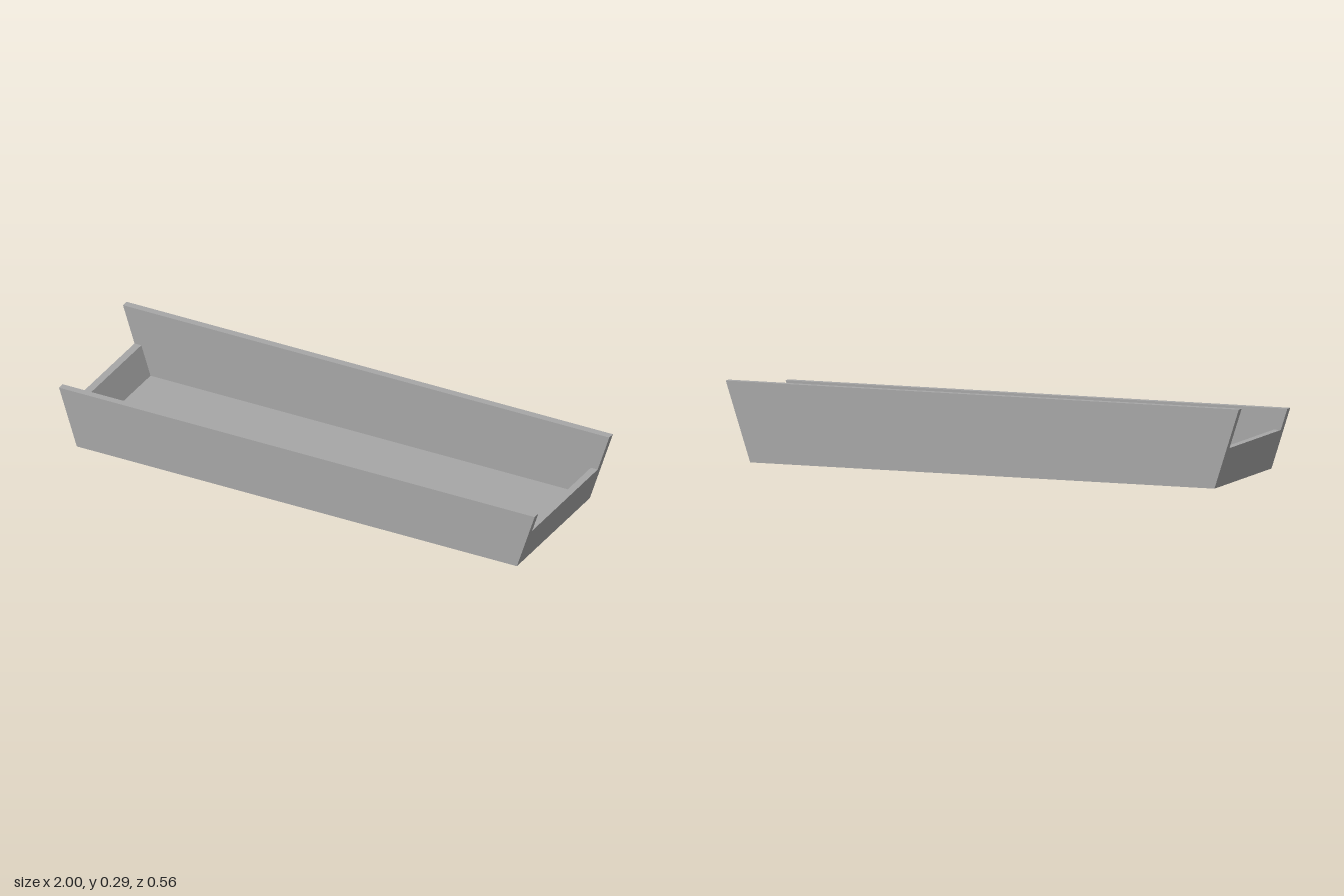
import * as THREE from 'three';
import { toCreasedNormals } from 'three/addons/utils/BufferGeometryUtils.js';

const BASE = 0.905;              // half width at the bottom
const SLOPE = 0.095 / 0.294;     // outward lean of the ends
const WALL = 0.028;
const DEPTH = 0.278;             // half depth
const halfWidth = (y) => BASE + SLOPE * y;

export function createModel() {
  const group = new THREE.Group();
  const grey = new THREE.MeshStandardMaterial({ color: 0xa6a6a6 });
  grey.name = 'plain grey';

  const add = (name, geometry, z, x = 0, y = 0) => {
    const mesh = new THREE.Mesh(toCreasedNormals(geometry, 0.5), grey);
    mesh.name = name;
    mesh.position.set(x, y, z);
    group.add(mesh);
  };
  const extrude = (shape, depth) =>
    new THREE.ExtrudeGeometry(shape, { depth, bevelEnabled: false, curveSegments: 16 });

  // Trapezoid panel outline
  const panel = (height) => new THREE.Shape([
    new THREE.Vector2(-BASE, 0), new THREE.Vector2(BASE, 0),
    new THREE.Vector2(halfWidth(height), height), new THREE.Vector2(-halfWidth(height), height),
  ]);
  const roundHole = (shape, x, y, r) =>
    shape.holes.push(new THREE.Path().absarc(x, y, r, 0, Math.PI * 2, true));

  // Front panel with a centre slot and two round holes
  const front = panel(0.226);
  const slot = new THREE.Path();
  slot.absarc(0.098, 0.122, 0.042, Math.PI / 2, -Math.PI / 2, true);
  slot.absarc(-0.098, 0.122, 0.042, -Math.PI / 2, -Math.PI * 1.5, true);
  slot.closePath();
  front.holes.push(slot);
  for (const side of [-1, 1]) roundHole(front, side * 0.453, 0.14, 0.028);
  add('frontPanel', extrude(front, WALL), DEPTH - WALL);

  // Taller back panel with large holes and countersunk screw holes
  const back = panel(0.294);
  for (const side of [-1, 1]) {
    roundHole(back, side * 0.453, 0.137, 0.06);
    roundHole(back, side * 0.65, 0.151, 0.033);
    const sink = new THREE.LatheGeometry([
      new THREE.Vector2(0.033, WALL), new THREE.Vector2(0.017, 0.012),
      new THREE.Vector2(0.017, 0), new THREE.Vector2(0.033, 0),
    ], 32).rotateX(-Math.PI / 2);
    add(side < 0 ? 'rightCountersink' : 'leftCountersink', sink, WALL - DEPTH, side * 0.65, 0.151);
  }
  add('backPanel', extrude(back, WALL), -DEPTH);

  // Floor and leaning end walls as one channel between the panels
  const rim = 0.147, floor = 0.03;
  const half = [[BASE, 0], [halfWidth(rim), rim], [halfWidth(rim) - WALL, rim], [halfWidth(floor) - WALL, floor]];
  const outline = [...half, ...half.map(([x, y]) => [-x, y]).reverse()];
  const channel = new THREE.Shape(outline.map(([x, y]) => new THREE.Vector2(x, y)));
  add('floorAndEnds', extrude(channel, 2 * (DEPTH - WALL)), WALL - DEPTH);

  return group;
}
